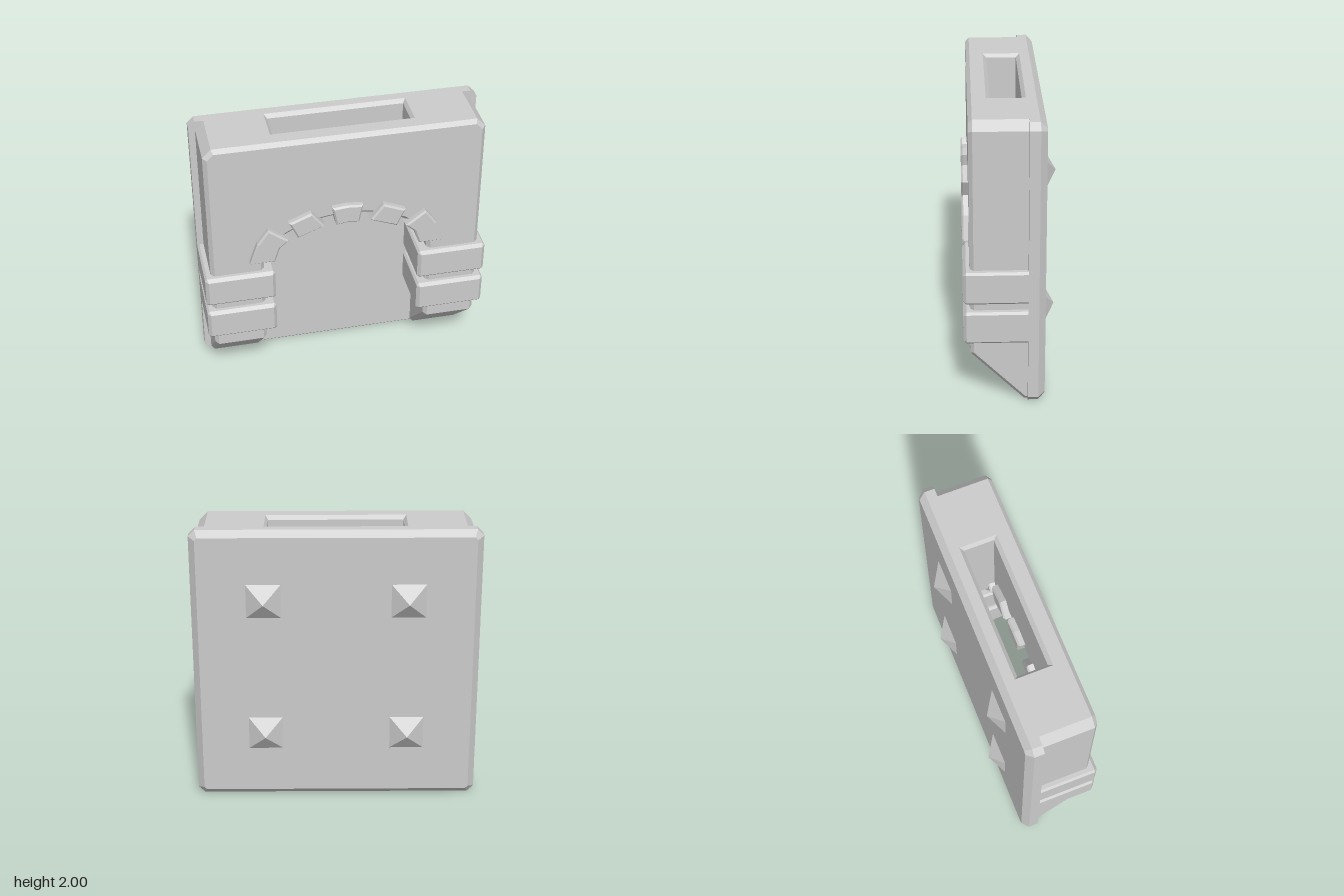
import * as THREE from 'three';

// Slab with a flat outline in x/y, spanning z0..z1, with chamfered rims
function slab(points, z0, z1, bevel = 0) {
  const shape = new THREE.Shape(points.map(([x, y]) => new THREE.Vector2(x, y)));
  const geo = new THREE.ExtrudeGeometry(shape, {
    depth: z1 - z0 - 2 * bevel,
    bevelEnabled: bevel > 0,
    bevelThickness: bevel,
    bevelSize: bevel,
    bevelOffset: -bevel,
    bevelSegments: 1,
  });
  return geo.translate(0, 0, z0 + bevel);
}

// Rectangle with cut corners
const cutRect = (x0, x1, y0, y1, c) => [
  [x0 + c, y0], [x1 - c, y0], [x1, y0 + c], [x1, y1 - c],
  [x1 - c, y1], [x0 + c, y1], [x0, y1 - c], [x0, y0 + c],
];

// Points along the flattened arch between two angles
function archPoints(a0, a1, steps) {
  return Array.from({ length: steps + 1 }, (_, i) => {
    const a = a0 + (a1 - a0) * i / steps;
    return [0.58 * Math.cos(a), 1 + 0.36 * Math.sin(a)];
  });
}

export function createModel() {
  const model = new THREE.Group();
  const material = new THREE.MeshStandardMaterial({ color: 0xcccccc });
  const add = (name, geometry) => {
    const mesh = new THREE.Mesh(geometry, material);
    mesh.name = name;
    model.add(mesh);
    return mesh;
  };
  const mirror = (points, s) => points.map(([x, y]) => [x * s, y]);

  // Back plate: square front rim, chamfered back rim
  const plate = cutRect(-1, 1, 0, 2, 0.045);
  add('backPlate', slab(plate, -0.185, -0.115));
  add('backPlateChamfer', slab(plate, -0.23, -0.13, 0.045));

  // Rear wall of the hollow, bevelled at the slot and at the bottom
  add('innerBackWall', slab([[-0.9, 0], [0.9, 0], [0.9, 2], [-0.9, 2]], -0.145, -0.09, 0.025));

  // Front wall with arched opening
  add('frontWall', slab([
    [0.955, 0.57], [0.955, 1.94], [0.895, 2],
    [-0.895, 2], [-0.955, 1.94], [-0.955, 0.57], [-0.58, 0.57],
    ...archPoints(Math.PI, 0, 24), [0.58, 0.57],
  ], 0.12, 0.27, 0.027));

  // Side walls between plate and front wall, leaving the top slot open
  const sideWall = [
    [0.955, 0.57], [0.955, 1.94], [0.895, 2], [0.49, 2], [0.47, 1.975],
    ...archPoints(Math.acos(0.47 / 0.58), 0, 8), [0.58, 0.57],
  ];

  // Sloping foot profile, drawn in z/y
  const foot = [[-0.15, 0], [-0.09, 0], [0.27, 0.36], [0.27, 0.58], [-0.15, 0.58]];

  // Arch stones, drawn for the left side
  const sideStones = [
    [[0.16, 1.32], [0.347, 1.246], [0.406, 1.374], [0.25, 1.438]],
    [[0.41, 1.235], [0.475, 1.176], [0.51, 1.07], [0.685, 1.07], [0.63, 1.23], [0.55, 1.342]],
  ];
  const keystone = [
    [-0.08, 1.315], [0, 1.325], [0.08, 1.315], [0.107, 1.455], [0, 1.465], [-0.107, 1.455],
  ];
  add('keystone', slab(keystone, 0.07, 0.315, 0.012));

  for (const [side, s] of [['left', 1], ['right', -1]]) {
    add(`${side}SideWall`, slab(mirror(sideWall, s), -0.14, 0.2));

    const footGeo = slab(foot, -0.1875, 0.1875, 0.025).rotateY(-Math.PI / 2);
    add(`${side}Foot`, footGeo).position.x = s * 0.7675;

    // Two heavy bands around each pillar
    for (const [name, y] of [['Lower', 0.46], ['Upper', 0.75]]) {
      const band = cutRect(0.51, 1, y, y + 0.23, 0.015);
      add(`${side}${name}Band`, slab(mirror(band, s), -0.16, 0.315, 0.022));
    }

    for (const stone of sideStones) {
      add(`${side}ArchStone`, slab(mirror(stone, s), 0.07, 0.315, 0.012));
    }

    // Pyramid studs on the back
    for (const y of [0.5, 1.5]) {
      const stud = new THREE.ConeGeometry(0.12 * Math.SQRT2, 0.085, 4).toNonIndexed();
      stud.computeVertexNormals();
      stud.rotateY(Math.PI / 4).rotateX(-Math.PI / 2);
      add(`${side}BackStud`, stud).position.set(s * 0.5, y, -0.2725);
    }
  }
  return model;
}
